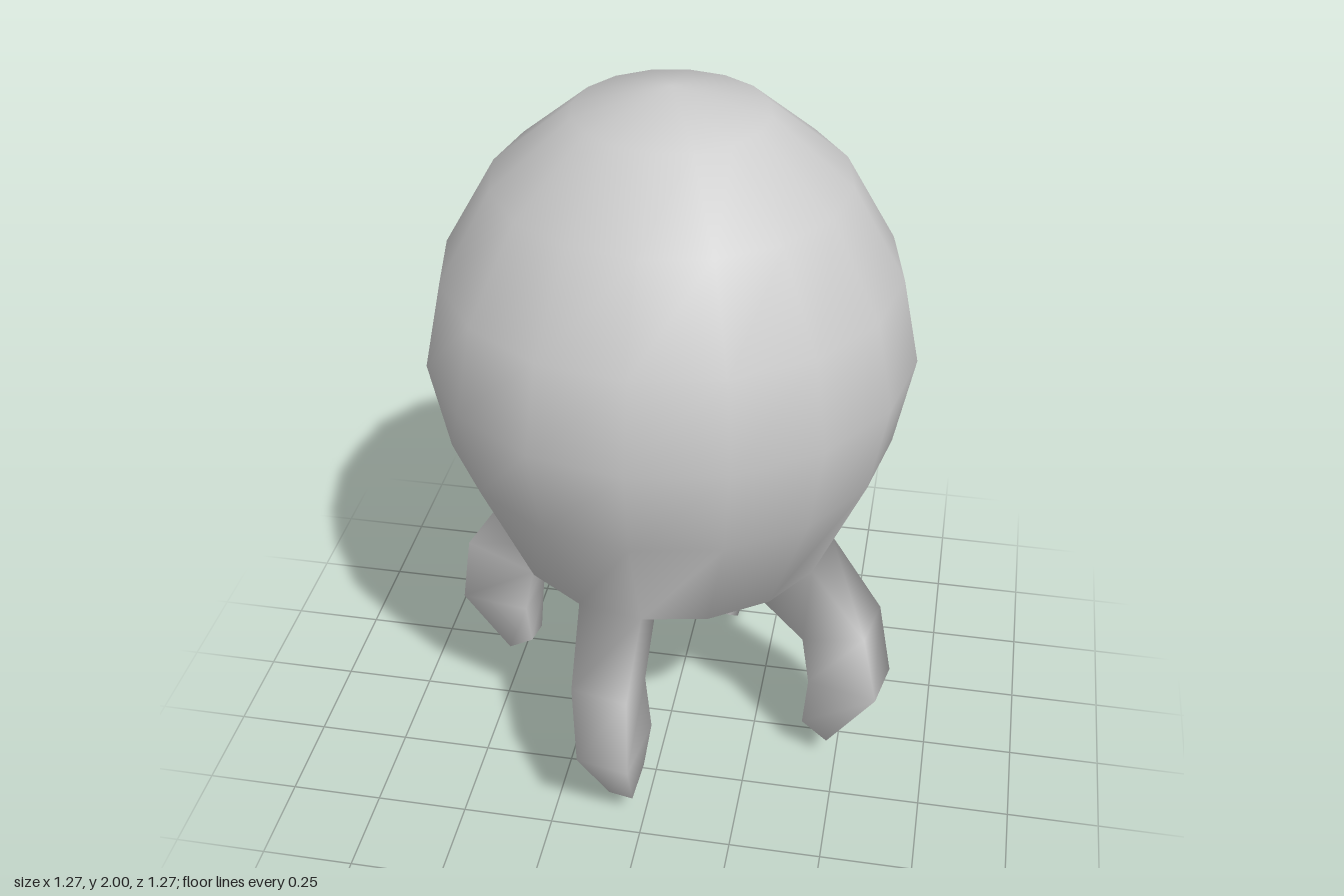
import * as THREE from 'three';

const SIDES = 16;
const STEP = (Math.PI * 2) / SIDES;

// Body rings from top to bottom: [radius, y]
const RINGS = [[0.245, 1.94], [0.45, 1.77], [0.587, 1.53], [0.635, 1.3], [0.587, 1.05], [0.445, 0.72], [0.24, 0.59]];

// Legs in order left, front, right, back. Each section is
// [outer radius, outer y, inner radius, inner y, sideways shift]
const LEGS = [
  { name: 'leftLeg', sections: [[0.59, 0.52, 0.41, 0.45, 0], [0.632, 0.31, 0.435, 0.31, 0], [0.49, 0.08, 0.415, 0.13, 0]] },
  { name: 'frontLeg', sections: [[0.545, 0.52, 0.36, 0.45, -0.01], [0.582, 0.31, 0.385, 0.31, -0.03], [0.45, 0.08, 0.365, 0.13, -0.025]] },
  { name: 'rightLeg', sections: [[0.6, 0.52, 0.41, 0.45, 0], [0.632, 0.31, 0.435, 0.31, 0], [0.51, 0.12, 0.435, 0.17, 0]] },
  { name: 'backLeg', sections: [[0.6, 0.49, 0.4, 0.45, 0], [0.632, 0.23, 0.43, 0.23, 0], [0.49, 0.0, 0.415, 0.06, 0]] },
];
const OUTER_WIDTH = [0.155, 0.145, 0.07];
const INNER_WIDTH = [0.11, 0.125, 0.07];

export function createModel() {
  const positions = [];
  const addVertex = (x, y, z) => positions.push(x, y, z) / 3 - 1;
  const addQuad = (faces, a, b, c, d) => faces.push(a, b, c, a, c, d);

  // Body vertices
  const rings = RINGS.map(([r, y]) =>
    Array.from({ length: SIDES }, (_, j) => addVertex(r * Math.cos(j * STEP), y, r * Math.sin(j * STEP))));
  const top = addVertex(0, 2, 0);
  const bottom = addVertex(0, 0.59, 0);

  // Body faces, leaving an opening in the lowest band where each leg grows
  const bodyFaces = [];
  const last = rings.length - 1;
  for (let j = 0; j < SIDES; j++) {
    const n = (j + 1) % SIDES;
    bodyFaces.push(top, rings[0][n], rings[0][j]);
    bodyFaces.push(bottom, rings[last][j], rings[last][n]);
    for (let i = 0; i < last; i++) {
      if (i === last - 1 && j % 4 === 0) continue;
      addQuad(bodyFaces, rings[i][j], rings[i][n], rings[i + 1][n], rings[i + 1][j]);
    }
  }
  const parts = [{ name: 'body', faces: bodyFaces }];

  // Legs: square sections joined from the body opening down to a capped tip
  LEGS.forEach(({ name, sections }, k) => {
    const j = k * 4;
    const angle = (j + 0.5) * STEP;
    const c = Math.cos(angle), s = Math.sin(angle);
    const corner = (r, y, t) => addVertex(r * c - t * s, y, r * s + t * c);
    const faces = [];
    let loop = [rings[last - 1][j], rings[last - 1][j + 1], rings[last][j + 1], rings[last][j]];
    sections.forEach(([ro, yo, ri, yi, shift], i) => {
      const wo = OUTER_WIDTH[i] / 2, wi = INNER_WIDTH[i] / 2;
      const next = [
        corner(ro, yo, shift - wo), corner(ro, yo, shift + wo),
        corner(ri, yi, shift + wi), corner(ri, yi, shift - wi),
      ];
      for (let e = 0; e < 4; e++) {
        const f = (e + 1) % 4;
        addQuad(faces, loop[e], loop[f], next[f], next[e]);
      }
      loop = next;
    });
    addQuad(faces, ...loop);
    parts.push({ name, faces });
  });

  // Smooth normals are found over the whole skin so legs blend into the body
  const skin = new THREE.BufferGeometry();
  skin.setAttribute('position', new THREE.Float32BufferAttribute(positions, 3));
  skin.setIndex(parts.flatMap((p) => p.faces));
  skin.computeVertexNormals();

  const material = new THREE.MeshStandardMaterial({ color: 0xcccccc });
  const model = new THREE.Group();
  model.name = 'octopus';
  for (const { name, faces } of parts) {
    const geometry = skin.clone();
    geometry.setIndex(faces);
    const mesh = new THREE.Mesh(geometry.toNonIndexed(), material);
    mesh.name = name;
    model.add(mesh);
  }
  return model;
}
